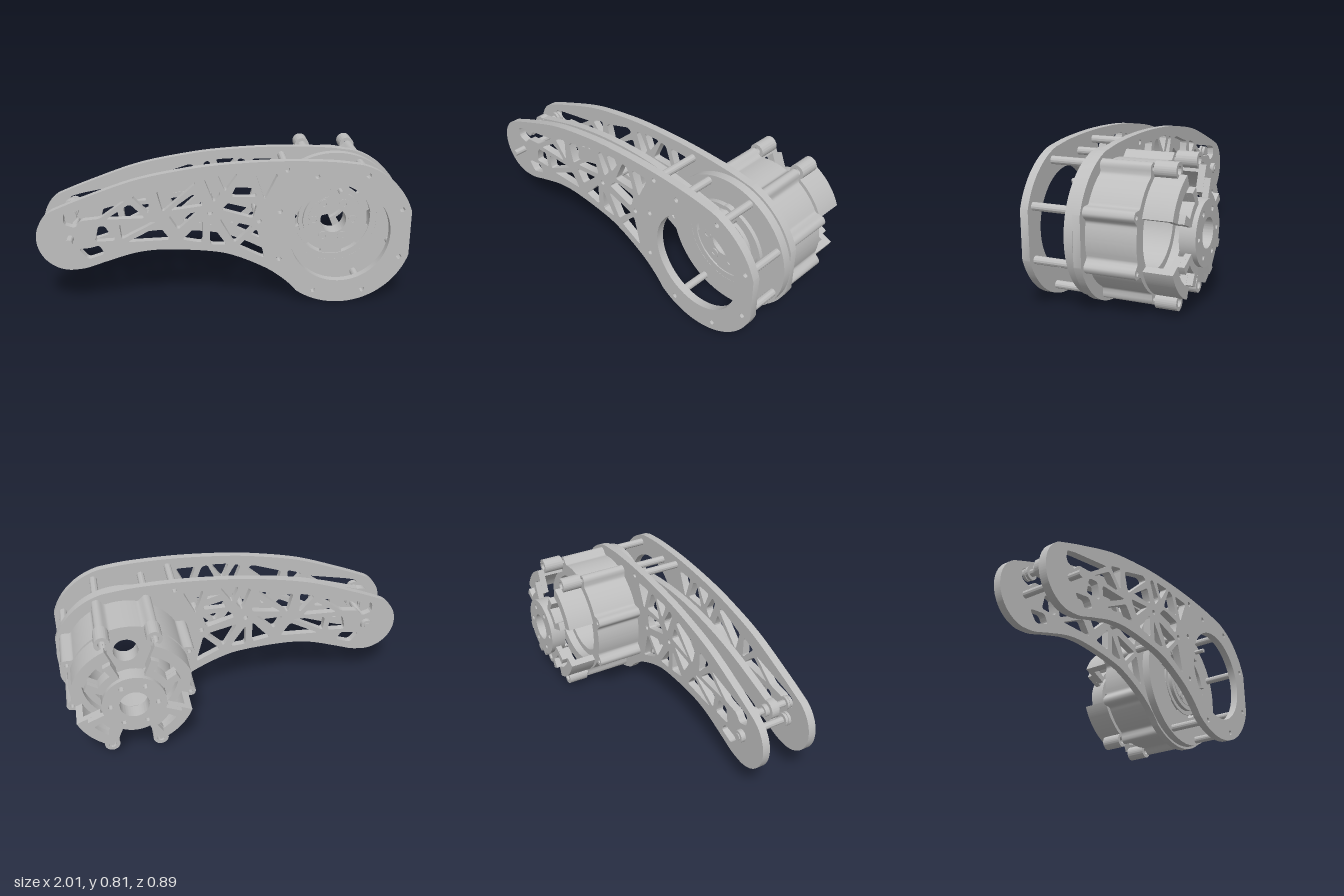
import * as THREE from 'three';
import { toCreasedNormals } from 'three/addons/utils/BufferGeometryUtils.js';

const CX = 0.62, CY = 0.4; // motor axis
const V = (p) => new THREE.Vector2(p[0], p[1]);

export function createModel() {
  const model = new THREE.Group();
  model.name = 'actuatedLeg';
  const metal = new THREE.MeshStandardMaterial({ color: 0xbebebe });
  metal.name = 'grey metal';

  // Extrudes a shape between two depths
  function slab(name, shape, z0, z1, parent = model) {
    const g = new THREE.ExtrudeGeometry(shape, { depth: z1 - z0, bevelEnabled: false, curveSegments: 40 });
    g.translate(0, 0, z0);
    const mesh = new THREE.Mesh(toCreasedNormals(g, 0.6), metal);
    mesh.name = name;
    parent.add(mesh);
  }
  const circle = (x, y, r, Type = THREE.Path) => new Type().absarc(x, y, r, 0, Math.PI * 2, false);
  function ring(name, x, y, rOut, rIn, z0, z1, parent) {
    const s = circle(x, y, rOut, THREE.Shape);
    if (rIn > 0) s.holes.push(circle(x, y, rIn));
    slab(name, s, z0, z1, parent);
  }
  const polar = (r, a) => [CX + r * Math.cos(a), CY + r * Math.sin(a)];

  // Counter-clockwise polygon with rounded corners
  function roundedPath(points, radius) {
    const path = new THREE.Path(), n = points.length;
    const pts = points.map(V);
    if (THREE.ShapeUtils.isClockWise(pts)) pts.reverse();
    pts.forEach((c, i) => {
      const toA = pts[(i + n - 1) % n].clone().sub(c), toB = pts[(i + 1) % n].clone().sub(c);
      const p0 = c.clone().addScaledVector(toA.clone().normalize(), Math.min(radius, toA.length() * 0.4));
      const p1 = c.clone().addScaledVector(toB.clone().normalize(), Math.min(radius, toB.length() * 0.4));
      if (i) path.lineTo(p0.x, p0.y); else path.moveTo(p0.x, p0.y);
      path.quadraticCurveTo(c.x, c.y, p1.x, p1.y);
    });
    path.closePath();
    return path;
  }

  // Fasteners around the motor and along the arm
  const motorBolts = [];
  for (let i = 0; i < 8; i++) motorBolts.push(polar(0.355, Math.PI / 8 + i * Math.PI / 4));
  const armBolts = [[0.325, 0.765], [0.18, 0.485], [-0.08, 0.535]];

  // Lattice cutouts of the arm plates
  const cutouts = [
    [[-0.78, 0.34], [-0.67, 0.36], [-0.64, 0.31], [-0.73, 0.28]],
    [[-0.85, 0.54], [-0.78, 0.56], [-0.52, 0.61], [-0.66, 0.51], [-0.76, 0.5], [-0.79, 0.46], [-0.85, 0.48]],
    [[-0.49, 0.63], [-0.4, 0.66], [-0.4, 0.53]],
    [[-0.63, 0.505], [-0.5, 0.59], [-0.42, 0.51]],
    [[-0.67, 0.47], [-0.6, 0.48], [-0.58, 0.385], [-0.69, 0.38]],
    [[-0.56, 0.48], [-0.36, 0.49], [-0.55, 0.39]],
    [[-0.52, 0.375], [-0.35, 0.465], [-0.29, 0.385]],
    [[-0.36, 0.66], [-0.18, 0.72], [-0.15, 0.7], [-0.33, 0.54]],
    [[-0.29, 0.55], [-0.14, 0.66], [-0.11, 0.575]],
    [[-0.11, 0.72], [-0.08, 0.74], [-0.02, 0.64], [-0.06, 0.59]],
    [[-0.04, 0.745], [0.07, 0.75], [0, 0.65]],
    [[0.09, 0.75], [0.125, 0.74], [0.17, 0.62], [0.03, 0.62]],
    [[0.16, 0.745], [0.28, 0.745], [0.21, 0.6]],
    [[-0.02, 0.55], [0.03, 0.6], [0.17, 0.58], [0.15, 0.5]],
    [[-0.3, 0.52], [-0.14, 0.54], [-0.25, 0.44]],
    [[-0.19, 0.42], [-0.12, 0.5], [-0.12, 0.365], [-0.23, 0.385]],
    [[-0.08, 0.48], [0.01, 0.35], [-0.08, 0.355]],
    [[-0.03, 0.5], [0.15, 0.455], [0.05, 0.36]],
    [[0.17, 0.44], [0.215, 0.27], [0.07, 0.34]],
  ];

  // Curved arm plates
  function armPlate() {
    const s = new THREE.Shape();
    const rad = THREE.MathUtils.degToRad;
    s.moveTo(-0.91, 0.556);
    s.splineThru([[-0.74, 0.625], [-0.47, 0.72], [-0.2, 0.775], [0.01, 0.8], [0.28, 0.813], [0.545, 0.807],
      [0.717, 0.788]].map(V));
    s.absarc(CX, CY, 0.4, rad(75), rad(18.2), true);
    s.absarc(CX, CY, 0.4, rad(-18.2), rad(-125), true);
    s.splineThru([[0.33, 0.135], [0.225, 0.21], [0.065, 0.283], [-0.07, 0.315], [-0.31, 0.33], [-0.47, 0.315],
      [-0.63, 0.267], [-0.74, 0.23], [-0.82, 0.22]].map(V));
    s.absarc(-0.82, 0.4, 0.18, rad(-90), rad(-240), true);
    cutouts.forEach((c) => s.holes.push(roundedPath(c, 0.02)));
    [...motorBolts, ...armBolts].forEach(([x, y]) => s.holes.push(circle(x, y, 0.014)));
    s.holes.push(circle(CX, CY, 0.272));
    return s;
  }
  slab('frontArmPlate', armPlate(), 0.332, 0.375);
  slab('rearArmPlate', armPlate(), 0.051, 0.092);

  // Standoffs between the plates, none on the side facing the arm
  for (const [x, y] of motorBolts) if (x > 0.4) ring('motorStandoff', x, y, 0.021, 0, 0.137, 0.332);
  for (const [x, y] of armBolts) ring('armStandoff', x, y, 0.021, 0, 0.092, 0.332);

  // Curved push link between crank and knee
  const spine = new THREE.SplineCurve([[-0.82, 0.51], [-0.45, 0.615], [-0.1, 0.665], [0.25, 0.66], [0.635, 0.6]].map(V));
  const upper = [], lower = [];
  for (let i = 0; i <= 24; i++) {
    const p = spine.getPoint(i / 24), t = spine.getTangent(i / 24);
    upper.push(new THREE.Vector2(p.x - t.y * 0.045, p.y + t.x * 0.045));
    lower.unshift(new THREE.Vector2(p.x + t.y * 0.045, p.y - t.x * 0.045));
  }
  slab('pushLink', new THREE.Shape([...upper, ...lower]), 0.19, 0.231);
  ring('linkKneeEye', -0.82, 0.51, 0.054, 0, 0.189, 0.232);
  ring('linkCrankEye', 0.635, 0.6, 0.054, 0, 0.189, 0.232);

  // Knee shaft and link pivot with stacked collars
  ring('kneeShaft', -0.82, 0.4, 0.019, 0, 0.02, 0.445);
  ring('linkPivot', -0.82, 0.51, 0.019, 0, 0.092, 0.332);
  for (const [z0, z1, r] of [[0.092, 0.108, 0.033], [0.115, 0.13, 0.036], [0.165, 0.189, 0.033],
    [0.232, 0.25, 0.033], [0.3, 0.312, 0.036], [0.316, 0.332, 0.033]]) ring('pivotCollar', -0.82, 0.51, r, 0, z0, z1);
  for (const [z0, z1, r] of [[0.3, 0.307, 0.038], [0.307, 0.318, 0.033], [0.318, 0.332, 0.038]]) {
    ring('shaftCollar', -0.82, 0.4, r, 0, z0, z1);
  }
  ring('kneeScrewHead', -0.82, 0.4, 0.034, 0.019, 0.025, 0.051);

  // Motor housing with bolt bosses blended into the shell
  const motor = new THREE.Group();
  motor.name = 'motor';
  model.add(motor);
  ring('frontFlange', CX, CY, 0.386, 0.25, 0.092, 0.137, motor);
  const outline = [];
  for (let i = 0; i < 240; i++) {
    const a = i / 240 * Math.PI * 2, d = (a % (Math.PI / 4)) - Math.PI / 8;
    outline.push(V(polar(0.335 + 0.048 * Math.exp(-((d / 0.09) ** 4)), a)));
  }
  const housing = new THREE.Shape(outline);
  housing.holes.push(circle(CX, CY, 0.265), ...motorBolts.map(([x, y]) => circle(x, y, 0.012)));
  slab('housingShell', housing, -0.217, 0.092, motor);
  ring('statorRing', CX, CY, 0.266, 0.225, -0.17, 0.1, motor);

  // Output rotor with bolt circle
  ring('retainerRing', CX, CY, 0.256, 0.213, 0.1, 0.136, motor);
  ring('rotorRing', CX, CY, 0.195, 0.165, 0.1, 0.135, motor);
  ring('rotorRim', CX, CY, 0.17, 0.14, 0.1, 0.157, motor);
  ring('outputHub', CX, CY, 0.142, 0.073, 0.06, 0.16, motor);
  for (let i = 0; i < 6; i++) {
    const a = i * Math.PI / 3, [x, y] = polar(0.11, a);
    ring('hubBolt', x, y, 0.027, 0.014, 0.155, 0.165, motor);
    const web = new THREE.Mesh(new THREE.BoxGeometry(0.05, 0.12, 0.03), metal);
    web.name = 'rotorWeb';
    web.position.set(...polar(0.205, a + Math.PI / 6), 0.115);
    web.rotation.z = a + Math.PI / 6;
    motor.add(web);
  }

  // Crank: half ring around the rotor, lobe, pin and collars
  function sector(r0, r1, a0, a1) {
    const s = new THREE.Shape();
    s.absarc(CX, CY, r1, a0, a1, false);
    s.absarc(CX, CY, r0, a1, a0, true);
    s.closePath();
    return s;
  }
  slab('crankRing', sector(0.213, 0.25, 0.2, Math.PI - 0.2), 0.13, 0.158);
  slab('crankArm', sector(0.145, 0.25, 1.28, 2.4), 0.137, 0.163);
  ring('crankEye', 0.635, 0.6, 0.055, 0, 0.137, 0.165);
  ring('crankPin', 0.635, 0.6, 0.013, 0, 0.15, 0.29);
  for (const [z0, z1] of [[0.165, 0.174], [0.178, 0.19]]) ring('crankCollar', 0.635, 0.6, 0.035, 0, z0, z1);

  // Rear bracket: four claws on a stepped hub
  const bracket = new THREE.Group();
  bracket.name = 'rearBracket';
  model.add(bracket);
  const h = Math.PI / 8;
  for (let i = 0; i < 4; i++) {
    const mid = Math.PI / 4 + i * Math.PI / 2;
    slab('clawRim', sector(0.295, 0.335, mid - h, mid + h), -0.35, -0.235, bracket);
    const plate = sector(0.195, 0.335, mid - h, mid + h);
    plate.holes.push(new THREE.Path(sector(0.21, 0.275, mid - h * 0.55, mid + h * 0.55).getPoints(12)));
    slab('clawPlate', plate, -0.387, -0.35, bracket);
    slab('clawStep', sector(0.13, 0.21, mid - h, mid + h), -0.42, -0.387, bracket);
    for (const s of [-1, 1]) {
      const a = mid + s * h * 0.78;
      slab('clawRib', sector(0.2, 0.27, a - 0.085, a + 0.085), -0.42, -0.387, bracket);
    }
    const sx = Math.sign(Math.cos(mid)), sy = Math.sign(Math.sin(mid));
    ring('clawBoss', CX + sx * 0.134, CY + sy * 0.328, 0.042, 0.022, -0.35, -0.235, bracket);
  }
  const rear = circle(CX, CY, 0.17, THREE.Shape);
  rear.holes.push(circle(CX, CY, 0.078));
  for (let i = 0; i < 6; i++) rear.holes.push(circle(...polar(0.125, i * Math.PI / 3), 0.014));
  slab('rearHub', rear, -0.445, -0.36, bracket);

  return model;
}
